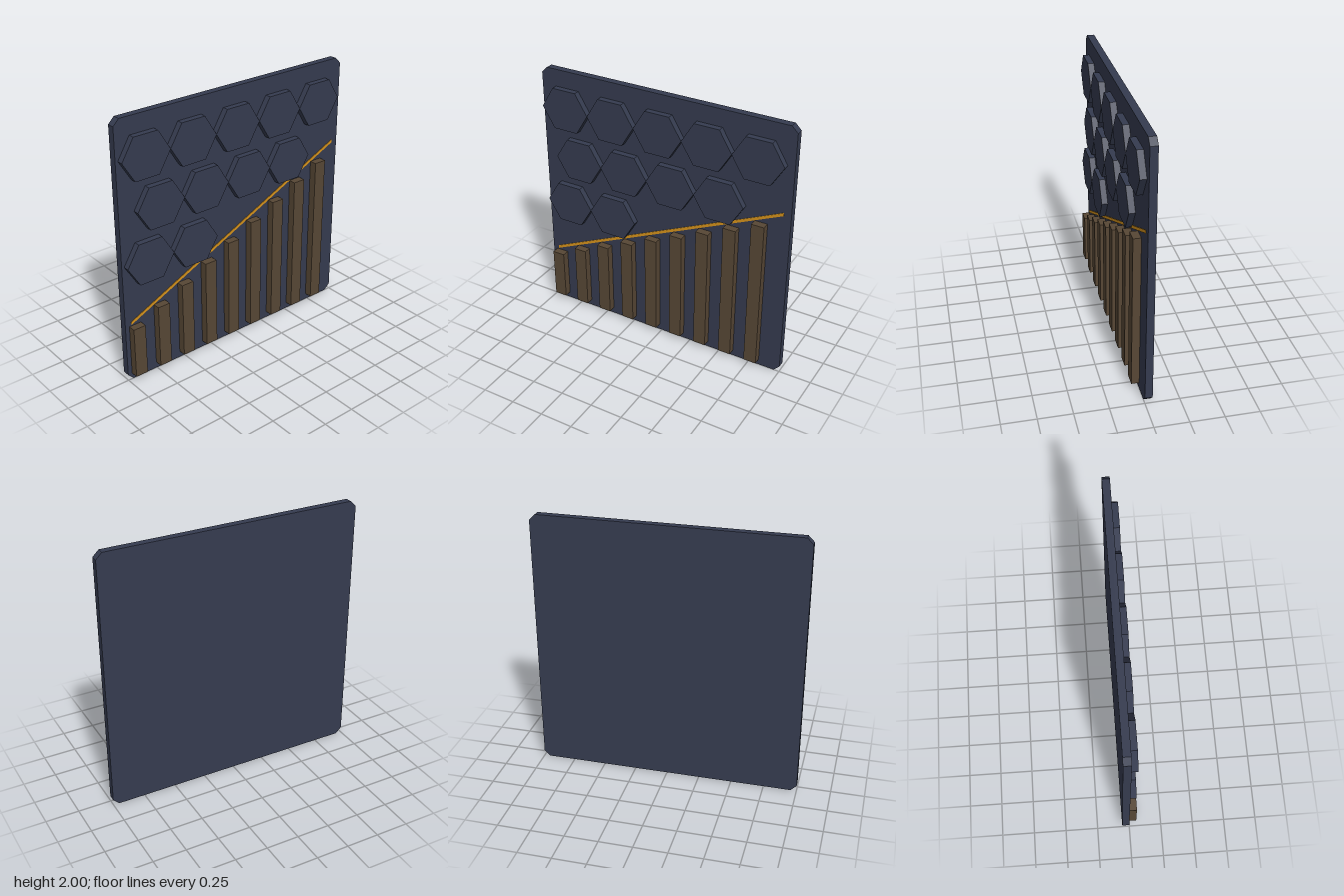
import * as THREE from 'three';

const slate = new THREE.MeshStandardMaterial({ color: 0x353b4f });
slate.name = 'slate blue';
const bronze = new THREE.MeshStandardMaterial({ color: 0x574735 });
bronze.name = 'dark bronze';
const amber = new THREE.MeshStandardMaterial({ color: 0xd6931c });
amber.name = 'amber';

// Flat outline pushed forward along +z
function plate(points, depth, material, name) {
  const shape = new THREE.Shape(points.map(([x, y]) => new THREE.Vector2(x, y)));
  const geometry = new THREE.ExtrudeGeometry(shape, { depth, bevelEnabled: false });
  const mesh = new THREE.Mesh(geometry, material);
  mesh.name = name;
  return mesh;
}

export function createModel() {
  const model = new THREE.Group();
  model.name = 'wallPanel';

  // Square backing panel with clipped corners
  const c = 0.045;
  const panel = plate([
    [-1 + c, 0], [1 - c, 0], [1, c], [1, 2 - c],
    [1 - c, 2], [-1 + c, 2], [-1, 2 - c], [-1, c],
  ], 0.055, slate, 'backPanel');
  panel.position.z = -0.055;
  model.add(panel);

  // Staggered rows of raised hexagonal tiles
  const r = 0.193, h = 0.158;
  const hexagon = [[r, 0], [r / 2, h], [-r / 2, h], [-r, 0], [-r / 2, -h], [r / 2, -h]];
  const rows = [
    { x: -0.787, y: 1.711, count: 5 },
    { x: -0.684, y: 1.322, count: 4 },
    { x: -0.787, y: 0.929, count: 2 },
  ];
  for (const row of rows) {
    for (let i = 0; i < row.count; i++) {
      const tile = plate(hexagon, 0.046, slate, 'hexTile');
      tile.position.set(row.x + i * 0.385, row.y, 0);
      model.add(tile);
    }
  }

  // Vertical bars rising in height from one side to the other
  const bottom = 0.048;
  for (let i = 0; i < 9; i++) {
    const height = 0.397 + i * 0.098;
    const bar = new THREE.Mesh(new THREE.BoxGeometry(0.098, height, 0.057), bronze);
    bar.name = 'bar';
    bar.position.set(-0.918 + i * 0.2126, bottom + height / 2, 0.0285);
    model.add(bar);
  }

  // Thin sloping accent strip above the bars
  const strip = plate([
    [-0.95, 0.455], [0.945, 1.329], [0.945, 1.353], [-0.95, 0.479],
  ], 0.004, amber, 'accentStrip');
  model.add(strip);

  return model;
}
